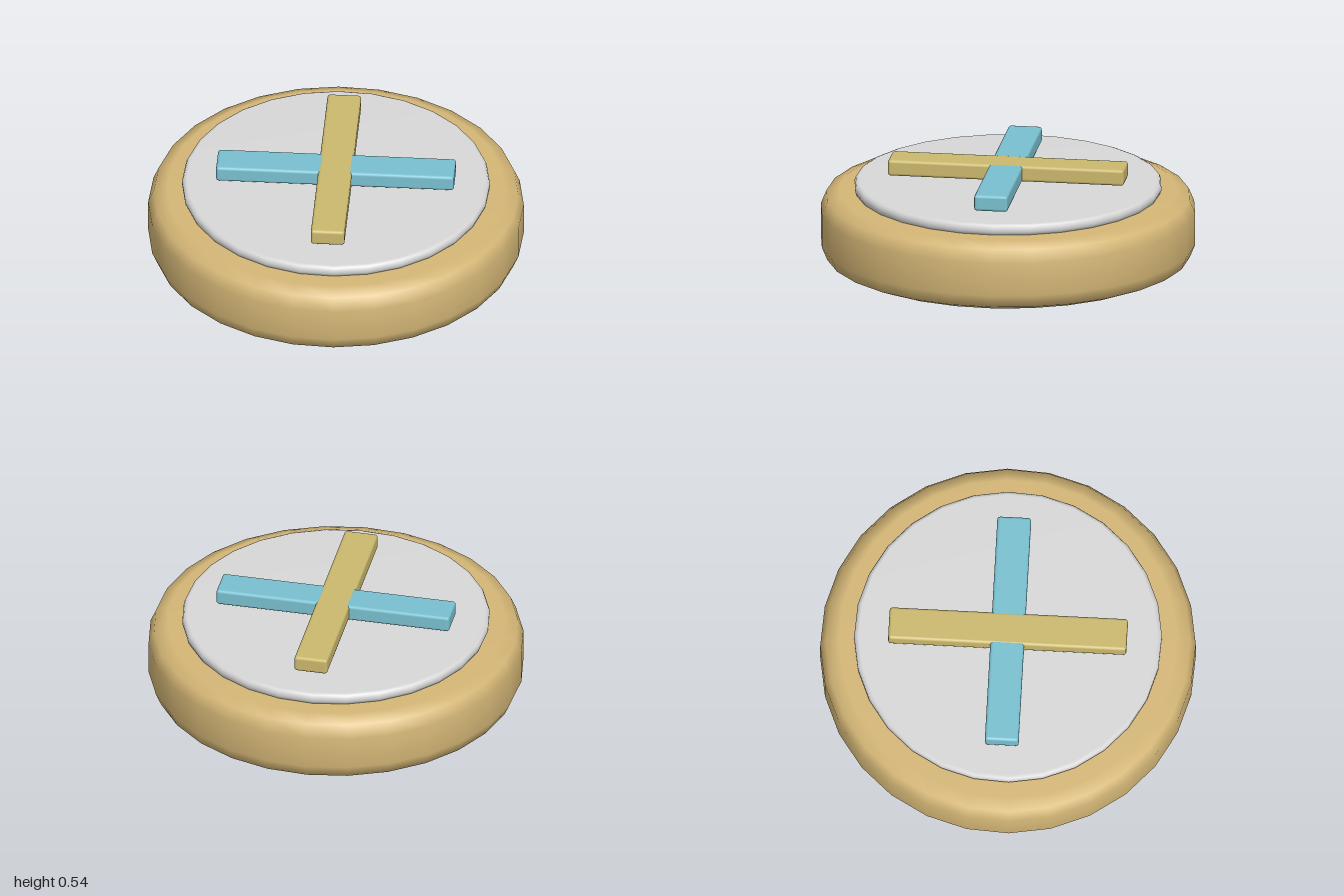
import * as THREE from 'three';
import { RoundedBoxGeometry } from 'three/addons/geometries/RoundedBoxGeometry.js';

const SIDES = 28;

function material(name, color) {
  const m = new THREE.MeshStandardMaterial({ color });
  m.name = name;
  return m;
}

// Solid round slab with softened rims
function slab(name, radius, y0, y1, bevel, mat) {
  const k = bevel * 0.293;
  const profile = [
    [0, y0], [radius - bevel, y0], [radius - k, y0 + k], [radius, y0 + bevel],
    [radius, y1 - bevel], [radius - k, y1 - k], [radius - bevel, y1], [0, y1],
  ].map(([x, y]) => new THREE.Vector2(x, y));
  const mesh = new THREE.Mesh(new THREE.LatheGeometry(profile, SIDES), mat);
  mesh.name = name;
  return mesh;
}

// Flat bar with rounded edges, turned about the vertical axis
function bar(name, angle, y, mat) {
  const mesh = new THREE.Mesh(new RoundedBoxGeometry(1.27, 0.088, 0.18, 2, 0.016), mat);
  mesh.name = name;
  mesh.position.y = y;
  mesh.rotation.y = angle;
  return mesh;
}

export function createModel() {
  const group = new THREE.Group();
  group.name = 'roundDial';

  const tan = material('tan', 0xd4b676);
  const grey = material('lightGrey', 0xd8d8d8);
  const blue = material('blue', 0x79c0d0);
  const yellow = material('mutedYellow', 0xcbb96e);

  // Base and face plate
  group.add(slab('base', 1, 0, 0.38, 0.1, tan));
  group.add(slab('facePlate', 0.82, 0.375, 0.44, 0.024, grey));

  // Crossed bars; the yellow one sits a hair higher at the crossing
  group.add(bar('blueBar', Math.PI / 8, 0.498, blue));
  group.add(bar('yellowBar', Math.PI / 8 + Math.PI / 2, 0.4995, yellow));

  return group;
}
